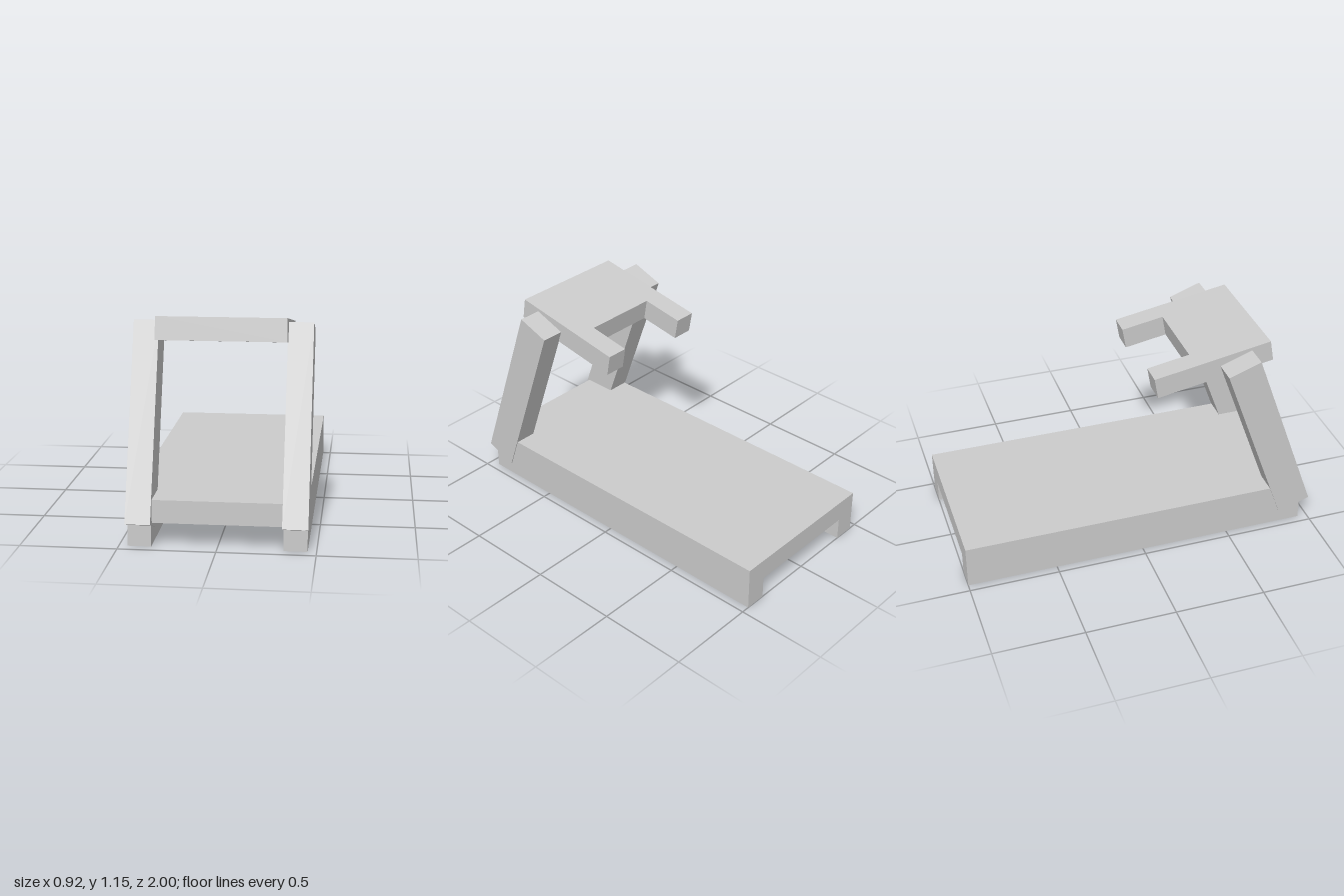
import * as THREE from 'three';

const material = new THREE.MeshStandardMaterial({ color: 0xcccccc, flatShading: true });

// U-shaped plate, centred: w wide, h high, with a notch cut into its lower edge
function channel(w, h, notchW, notchH, depth) {
  const x = w / 2, n = notchW / 2, y = h / 2;
  const points = [[-x, -y], [-n, -y], [-n, notchH - y], [n, notchH - y], [n, -y], [x, -y], [x, y], [-x, y]];
  const shape = new THREE.Shape(points.map(([a, b]) => new THREE.Vector2(a, b)));
  const geometry = new THREE.ExtrudeGeometry(shape, { depth, bevelEnabled: false });
  return geometry.translate(0, 0, -depth / 2);
}

export function createModel() {
  const group = new THREE.Group();
  const add = (name, geometry, x, y, z, tilt = 0) => {
    const mesh = new THREE.Mesh(geometry, material);
    mesh.name = name;
    mesh.position.set(x, y, z);
    mesh.rotation.x = THREE.MathUtils.degToRad(tilt);
    group.add(mesh);
  };

  // Running deck: slab with a rail under each long side
  add('deck', channel(0.91, 0.245, 0.67, 0.125, 1.945), 0, 0.1225, -0.0275);

  // Slanted uprights
  for (const [name, side] of [['leftUpright', 1], ['rightUpright', -1]]) {
    add(name, new THREE.BoxGeometry(0.13, 1.042, 0.19), side * 0.395, 0.5875, 0.7325, -20);
  }

  // Tilted console with two handles pointing back
  const console = channel(0.666, 0.665, 0.426, 0.24, 0.12);
  // The shape's lower (notched) edge must face -z
  console.rotateX(Math.PI / 2);
  add('console', console, 0, 1.0285, 0.4325, -10);

  return group;
}
